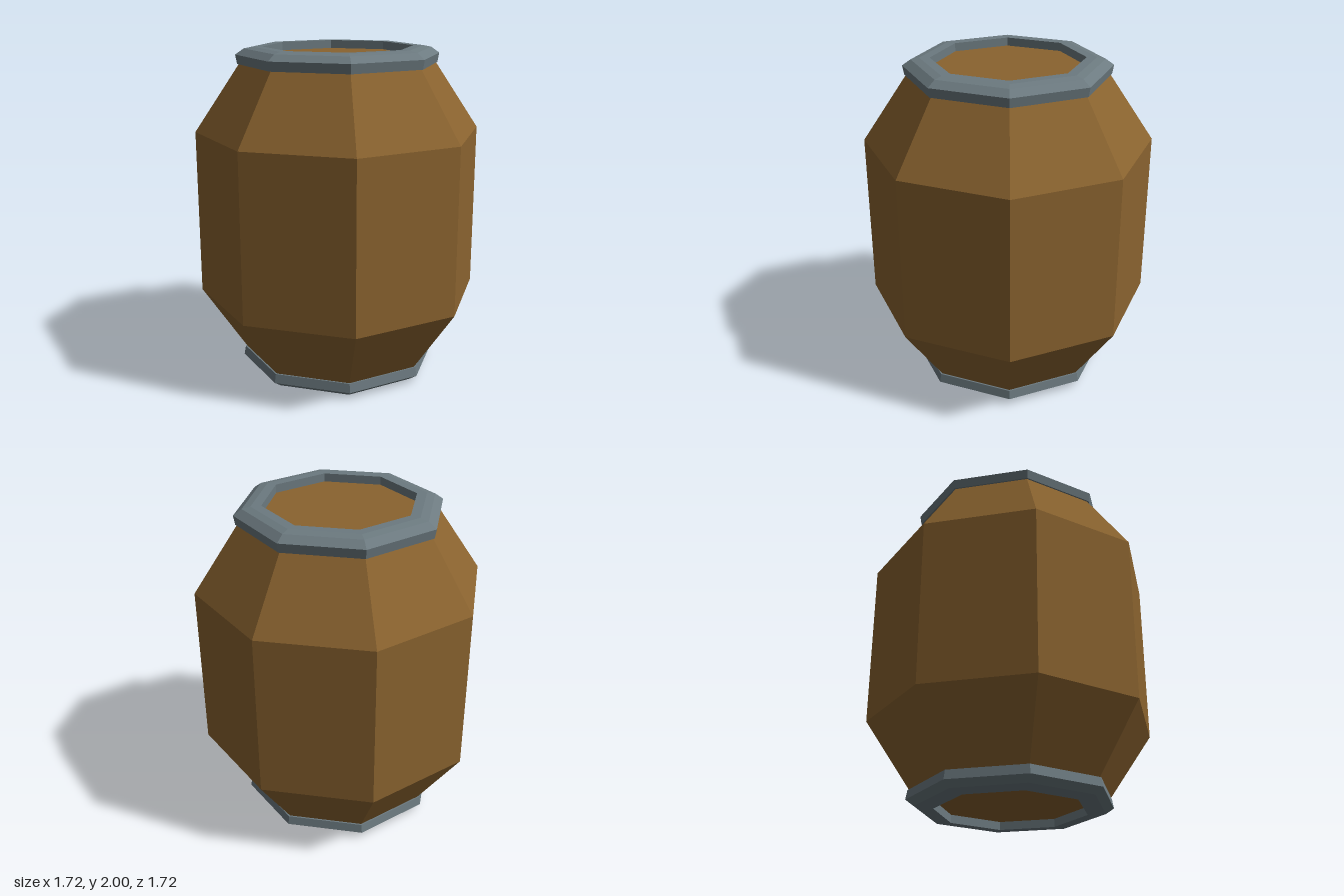
import * as THREE from 'three';

const SIDES = 8;
const wood = new THREE.MeshStandardMaterial({ color: 0x8a632f, flatShading: true });
const metal = new THREE.MeshStandardMaterial({ color: 0x6c7a80, flatShading: true });

// Eight-sided solid turned from [radius, height] pairs
function turned(name, profile, material) {
  const points = profile.map(([r, y]) => new THREE.Vector2(r, y));
  const mesh = new THREE.Mesh(new THREE.LatheGeometry(points, SIDES), material);
  mesh.name = name;
  return mesh;
}

export function createModel() {
  const group = new THREE.Group();
  group.name = 'barrel';

  // Wooden body with recessed flat lids
  group.add(turned('body', [
    [0, 0.05], [0.5, 0.05], [0.59, 0.1], [0.86, 0.5],
    [0.86, 1.5], [0.59, 1.9], [0.5, 1.95], [0, 1.95],
  ], wood));

  // Bevelled metal rims, the bottom one mirrored from the top
  const rim = [
    [0.45, 1.9], [0.6, 1.9], [0.61, 1.955], [0.56, 1.99],
    [0.51, 2], [0.45, 2], [0.45, 1.9],
  ];
  group.add(turned('topRim', rim, metal));
  group.add(turned('bottomRim', rim.map(([r, y]) => [r, 2 - y]).reverse(), metal));

  return group;
}
